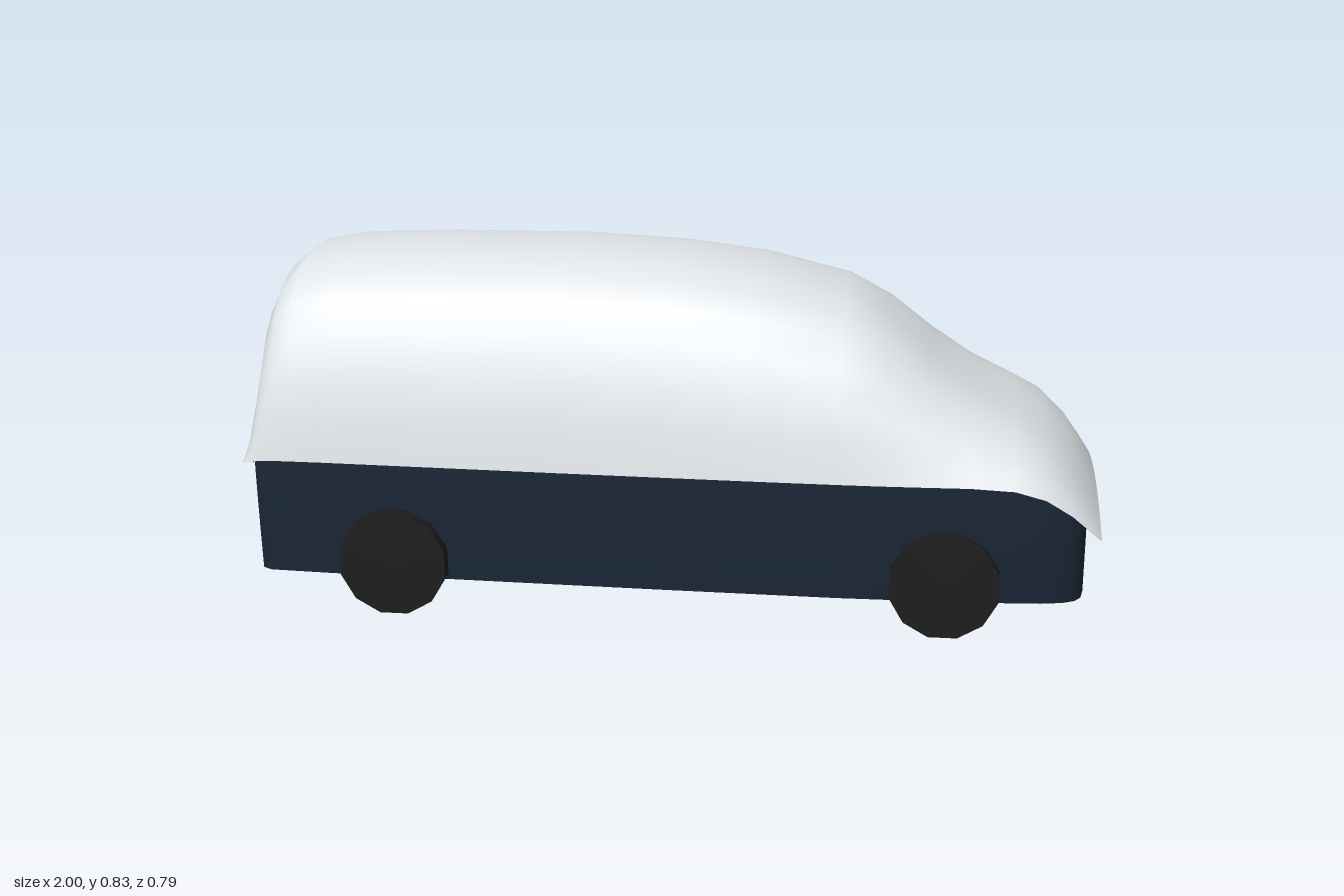
import * as THREE from 'three';

const material = (name, color) =>
  Object.assign(new THREE.MeshStandardMaterial({ color, side: THREE.DoubleSide }), { name });

// Stations along the van: x, half width, rim height, roof height
const stations = [
  [-1, 0.352, 0.35, 0.385], [-0.99, 0.361, 0.354, 0.49], [-0.975, 0.366, 0.358, 0.61],
  [-0.955, 0.369, 0.362, 0.71], [-0.93, 0.371, 0.364, 0.768], [-0.89, 0.373, 0.365, 0.8],
  [-0.8, 0.376, 0.366, 0.818], [-0.6, 0.38, 0.366, 0.828], [-0.25, 0.387, 0.366, 0.831],
  [0, 0.391, 0.366, 0.82], [0.2, 0.394, 0.366, 0.795], [0.4, 0.395, 0.366, 0.745],
  [0.5, 0.394, 0.366, 0.69], [0.6, 0.391, 0.366, 0.606], [0.7, 0.387, 0.366, 0.535],
  [0.8, 0.381, 0.36, 0.483], [0.87, 0.376, 0.34, 0.445], [0.93, 0.37, 0.303, 0.397],
  [0.97, 0.364, 0.268, 0.343], [0.99, 0.359, 0.249, 0.31], [1, 0.348, 0.24, 0.292],
];
// Half cross-section: fraction of half width, fraction of height
const section = [[0, 1], [0.2, 0.995], [0.37, 0.968], [0.54, 0.914], [0.68, 0.806],
  [0.795, 0.645], [0.885, 0.44], [0.95, 0.237], [1, 0]];
const across = [...section.slice(1).reverse().map(([u]) => -u), ...section.map(([u]) => u)];

// Linear lookup in rows sorted by their first column
function lookup(rows, x) {
  let i = 1;
  while (i < rows.length - 1 && rows[i][0] < x) i++;
  const [a, b] = [rows[i - 1], rows[i]];
  const t = THREE.MathUtils.clamp((x - a[0]) / (b[0] - a[0]), 0, 1);
  return a.map((v, k) => v + (b[k] - v) * t);
}

// Shell height at x and a fraction u of the half width; flatter arcs at both ends
function shellHeight(x, u) {
  const [, , rim, roof] = lookup(stations, x);
  const blend = Math.max(THREE.MathUtils.smoothstep(x, 0.85, 1), 1 - THREE.MathUtils.smoothstep(x, -1, -0.95));
  const arch = lookup(section, u)[1] * (1 - blend) + (1 - u * u) * blend;
  return rim + (roof - rim) * arch;
}

// Grid surface whose points come from a rule
function surface(rows, cols, point) {
  const positions = [], index = [];
  for (let i = 0; i < rows; i++) {
    for (let j = 0; j < cols; j++) {
      positions.push(...point(i, j));
      if (i && j) {
        const d = i * cols + j, c = d - 1, b = d - cols, a = b - 1;
        index.push(a, b, c, b, d, c);
      }
    }
  }
  const geometry = new THREE.BufferGeometry();
  geometry.setAttribute('position', new THREE.Float32BufferAttribute(positions, 3));
  geometry.setIndex(index);
  geometry.computeVertexNormals();
  return geometry;
}

export function createModel() {
  const silver = material('silver paint', 0xdfe4e8);
  const navy = material('navy paint', 0x1b2838);
  const black = material('black rubber', 0x1c1c1c);
  const group = new THREE.Group();
  group.name = 'van';
  const add = (name, geometry, mat) => {
    const mesh = new THREE.Mesh(geometry, mat);
    mesh.name = name;
    group.add(mesh);
  };

  // Upper shell: arched sections from tail to nose
  add('upperShell', surface(stations.length, across.length, (i, j) => {
    const [x, w] = stations[i];
    return [x, shellHeight(x, Math.abs(across[j])), across[j] * w];
  }), silver);

  // Dark lining just inside the shell, stopping above the rim
  const inner = stations.slice(2, -2);
  const liningPoint = ([x, w], u) => [x, shellHeight(x, Math.abs(u) * 0.97) - 0.006, u * 0.97 * (w - 0.005)];
  add('lining', surface(inner.length, across.length, (i, j) => liningPoint(inner[i], across[j])), black);

  // Inner tail panel closing the lining at the rear
  add('tailPanel', surface(2, across.length, (i, j) => {
    const [x, y, z] = liningPoint(inner[0], across[j]);
    return [x + 0.002, i ? y : 0.35, z];
  }), navy);

  // Lower body: wall around a rounded plan, tucked under the shell and tapering down
  const plan = [[-0.98, 0], [-0.98, 0.3], [-0.98, 0.6], [-0.98, 0.9], [-0.973, 0.965], [-0.95, 1],
    [-0.8, 1], [-0.4, 1], [0, 1], [0.4, 1], [0.6, 1], [0.75, 1], [0.82, 1], [0.87, 0.997], [0.92, 0.98],
    [0.948, 0.945], [0.963, 0.88], [0.97, 0.75], [0.972, 0.5], [0.972, 0.25], [0.972, 0]];
  const loop = [...plan.slice().reverse(), ...plan.slice(1).map(([x, f]) => [x, -f])];
  const bodyWidth = (x) => lookup(stations, x)[1] - 0.014;
  const wallTop = (x, f) => Math.min(0.43, shellHeight(x, Math.abs(f) * bodyWidth(x) / lookup(stations, x)[1]) - 0.003);
  const levels = 5;
  add('lowerBody', surface(loop.length, levels, (i, j) => {
    const [x, f] = loop[i];
    const t = j / (levels - 1);
    const taper = 0.026 * (1 - t) ** 1.5;
    return [x, 0.076 + (wallTop(x, f) - 0.076) * t, f * (bodyWidth(x) - taper)];
  }), navy);

  // Wheels: twelve-sided rims with an outer disc, open on the inside
  const radius = 0.1294;
  for (const [end, x] of [['rear', -0.64], ['front', 0.648]]) {
    for (const side of [1, -1]) {
      const wheel = new THREE.Group();
      wheel.name = end + (side > 0 ? 'NearWheel' : 'FarWheel');
      const tread = new THREE.CylinderGeometry(radius, radius, 0.088, 12, 1, true, Math.PI / 12);
      tread.rotateX(Math.PI / 2);
      const disc = new THREE.CircleGeometry(radius, 12, Math.PI / 12);
      disc.translate(0, 0, 0.044);
      for (const [name, geometry] of [['tread', tread], ['disc', disc]]) {
        const mesh = new THREE.Mesh(geometry, black);
        mesh.name = name;
        wheel.add(mesh);
      }
      wheel.position.set(x, 0.125, side * 0.338);
      if (side < 0) wheel.rotation.y = Math.PI;
      group.add(wheel);
    }
  }
  return group;
}
